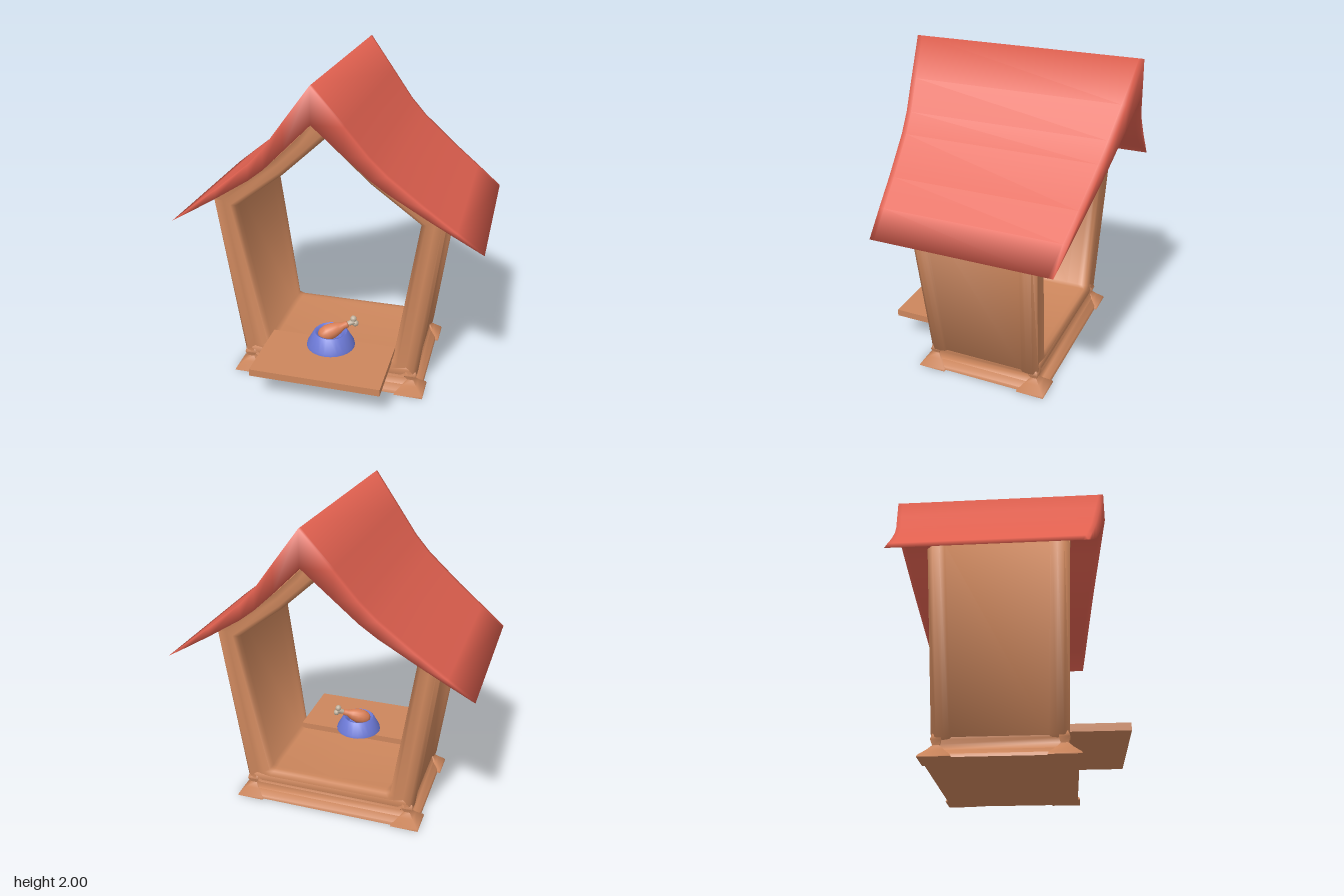
import * as THREE from 'three';
import { toCreasedNormals } from 'three/addons/utils/BufferGeometryUtils.js';

const paint = (color) => new THREE.MeshStandardMaterial({ color });
const wood = paint(0xcc865c), red = paint(0xe0604f), blue = paint(0x6b78d4);
const meat = paint(0xd97f57), bone = paint(0xbfb09c);

function add(parent, name, geometry, material) {
  const mesh = new THREE.Mesh(geometry, material);
  mesh.name = name;
  parent.add(mesh);
  return mesh;
}

// Skin rows of [x, y, z] points, columns wrapping or rows wrapping; ends can be capped
function loft(rows, { wrapRows = false, wrapCols = false, caps = false, crease }) {
  const n = rows.length, m = rows[0].length, index = [];
  const at = (i, j) => (i % n) * m + (j % m);
  for (let i = 0; i < (wrapRows ? n : n - 1); i++) {
    for (let j = 0; j < (wrapCols ? m : m - 1); j++) {
      const a = at(i, j), b = at(i, j + 1), c = at(i + 1, j + 1), d = at(i + 1, j);
      index.push(a, b, c, a, c, d);
    }
  }
  if (caps) {
    for (let j = 1; j < m - 1; j++) {
      index.push(0, at(0, j + 1), at(0, j), at(n - 1, 0), at(n - 1, j), at(n - 1, j + 1));
    }
  }
  const g = new THREE.BufferGeometry();
  g.setAttribute('position', new THREE.Float32BufferAttribute(rows.flat(2), 3));
  g.setIndex(index);
  return toCreasedNormals(g, crease);
}

// Right half outline (bottom to apex) continued by its mirror image
const closeOutline = (half) => [...half, ...half.slice(1, -1).reverse().map(([x, y]) => [-x, y])];

// Hollow house: an outline swept around a section with soft frames at both open ends
function houseShell() {
  const outer = closeOutline([[0, 0.08], [0.5, 0.08], [0.57, 0.12], [0.71, 1.21], [0.3, 1.51], [0.16, 1.65], [0, 1.82]]);
  const inner = closeOutline([[0, 0.19], [0.38, 0.19], [0.411, 0.2], [0.56, 1.16], [0.27, 1.38], [0.14, 1.5], [0, 1.63]]);
  // [blend from outer to inner, distance behind the opening's face]
  const section = [[0.08, 0.11], [0.02, 0.1], [0, 0.07], [0, 0.03], [0.15, 0], [0.45, 0.015], [0.78, 0],
    [0.96, 0.02], [1, 0.05], [0.99, 0.08], [0.92, 0.16]];
  const ring = (side) => ([t, inset]) => outer.map(([x, y], j) => {
    const depth = 0.365 + 0.035 * y;
    const px = x + (inner[j][0] - x) * t, py = y + (inner[j][1] - y) * t;
    return [px, py, 0.03 + side * (depth - inset)];
  });
  const rows = [...section.map(ring(1)), ...[...section].reverse().map(ring(-1))];
  return loft(rows, { wrapRows: true, wrapCols: true, crease: 1.2 });
}

// Curved gable roof, thick at the ridge and tapering to nothing at the eaves
function roofGeometry() {
  // [x, top y, underside y]
  const half = [[0.935, 1.07, 1.07], [0.78, 1.195, 1.165], [0.62, 1.32, 1.265],
    [0.4, 1.505, 1.41], [0.3, 1.61, 1.49], [0.17, 1.78, 1.62], [0, 2, 1.79]];
  const stations = [...half, ...half.slice(0, -1).reverse().map(([x, ...r]) => [-x, ...r])];
  // The gable ends lean outward in step with the height
  const row = (level, side, inset) => stations.map((s) =>
    [s[0], s[level], -0.018 + side * (0.55 + 0.177 * (s[1] - 1.07) - inset)]);
  return loft([
    row(1, -1, 0), row(1, -1, 0.03), row(1, 1, 0.03), row(1, 1, 0),
    row(2, 1, 0), row(2, 1, 0.03), row(2, -1, 0.03), row(2, -1, 0),
  ], { wrapRows: true, crease: 3.2 });
}

// Stacked rectangles given as [y, half width, half depth]
function stack(levels, cx, cz, crease) {
  const rows = levels.map(([y, w, d]) =>
    [[-1, 1], [1, 1], [1, -1], [-1, -1]].map(([sx, sz]) => [cx + sx * w, y, cz + sz * d]));
  return loft(rows, { wrapCols: true, caps: true, crease });
}

export function createModel() {
  const model = new THREE.Group();
  model.name = 'birdFeederHouse';

  add(model, 'houseShell', houseShell(), wood);
  add(model, 'roof', roofGeometry(), red);

  // Flared skirt with a rounded foot at each corner
  add(model, 'baseSkirt', stack([[0, 0.6, 0.415], [0.02, 0.595, 0.41], [0.05, 0.56, 0.375], [0.085, 0.54, 0.355],
    [0.11, 0.55, 0.362], [0.15, 0.55, 0.362], [0.17, 0.54, 0.35]], 0, 0.03, 1.2), wood);
  for (const sx of [-1, 1]) {
    for (const sz of [-1, 1]) {
      add(model, 'cornerFoot', stack([[0, 0.09, 0.09], [0.012, 0.085, 0.085], [0.05, 0.045, 0.045],
        [0.08, 0.02, 0.02], [0.11, 0.037, 0.03], [0.14, 0.03, 0.02]],
      sx * 0.53, 0.03 + sz * 0.34, 1.7), wood);
    }
  }

  // Feeding tray sticking out of the front opening
  const tray = add(model, 'tray', new THREE.BoxGeometry(0.815, 0.045, 0.465), wood);
  tray.position.set(0, 0.203, 0.503);

  // Bowl
  const bowlProfile = [[0, 0], [0.155, 0], [0.152, 0.015], [0.112, 0.088], [0.103, 0.097],
    [0.09, 0.092], [0.07, 0.05], [0, 0.045]].map(([x, y]) => new THREE.Vector2(x, y));
  const bowl = add(model, 'bowl', toCreasedNormals(new THREE.LatheGeometry(bowlProfile, 24), 0.8), blue);
  bowl.position.set(0, 0.225, 0.335);

  // Drumstick lying in the bowl, its bone pointing up and back
  const drumstick = new THREE.Group();
  drumstick.name = 'drumstick';
  drumstick.position.set(0.005, 0.322, 0.335);
  drumstick.rotation.set(0, 0.45, 0.36);
  model.add(drumstick);
  const meatProfile = [[0, -0.09], [0.025, -0.085], [0.043, -0.065], [0.052, -0.03], [0.049, 0.01],
    [0.037, 0.05], [0.022, 0.08], [0.023, 0.105], [0.014, 0.115], [0, 0.115]].map(([x, y]) => new THREE.Vector2(x, y));
  add(drumstick, 'meat', new THREE.LatheGeometry(meatProfile, 16), meat).rotation.z = -Math.PI / 2;
  const shaft = add(drumstick, 'boneShaft', new THREE.CylinderGeometry(0.02, 0.013, 0.06, 10), bone);
  shaft.rotation.z = -Math.PI / 2;
  shaft.position.x = 0.125;
  for (const side of [-1, 1]) {
    const knob = add(drumstick, 'boneKnob', new THREE.SphereGeometry(0.021, 12, 8), bone);
    knob.position.set(0.158, side * 0.018, 0);
  }
  return model;
}
